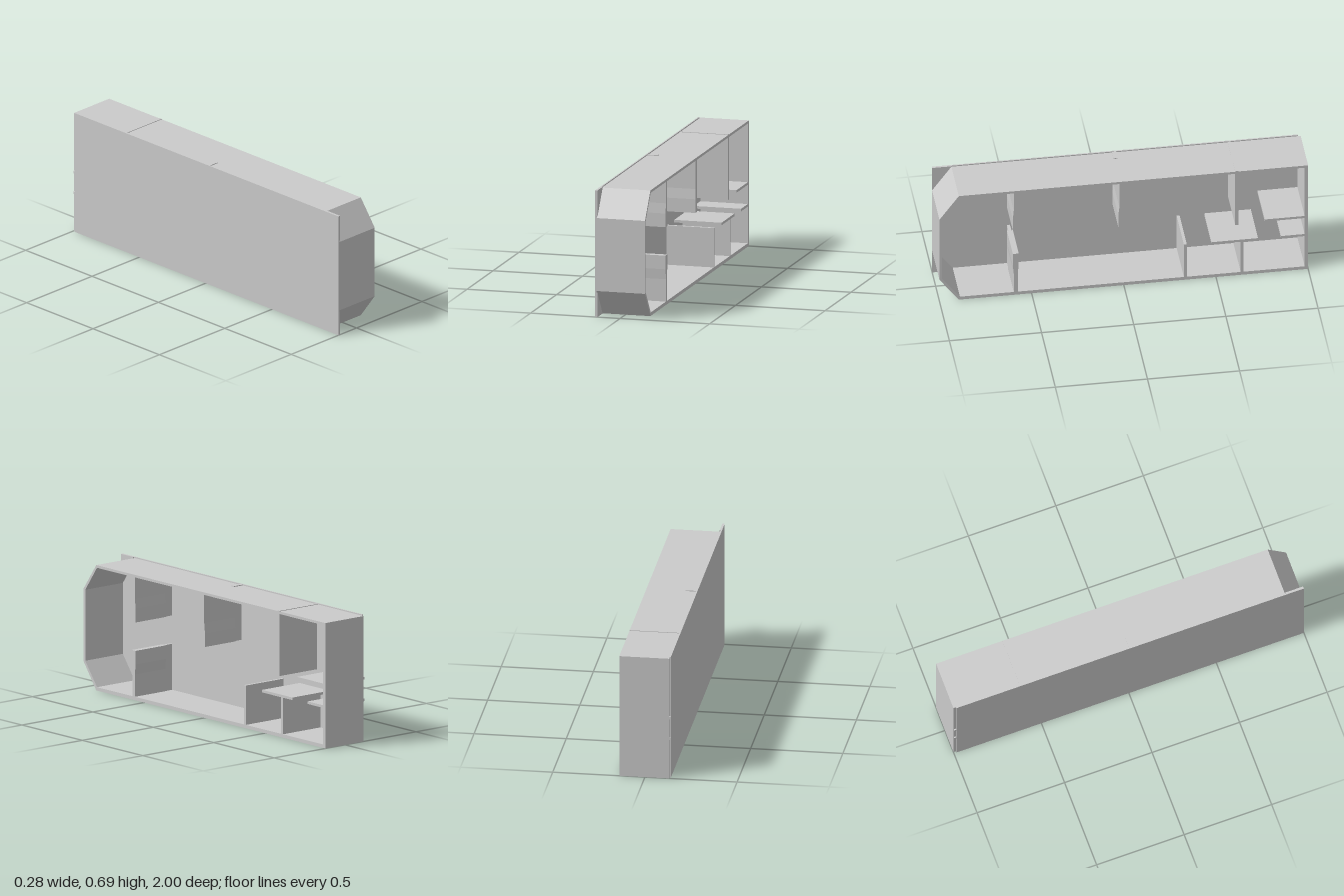
import * as THREE from 'three';

export function createModel() {
  const model = new THREE.Group();
  const grey = new THREE.MeshStandardMaterial({ color: 0xcbcbcb });
  grey.name = 'plain grey';
  const BACK = -0.139, SEAT = -0.131, FLOOR = -0.126, OPEN = 0.139;

  // Extrudes a side outline of [z, y] points across the width, from x0 to x1
  function slab(name, points, x0, x1, hole) {
    const toPoints = (pts) => pts.map(([z, y]) => new THREE.Vector2(-z, y)).reverse();
    const shape = new THREE.Shape(toPoints(points));
    if (hole) shape.holes.push(new THREE.Path(toPoints(hole)));
    const geo = new THREE.ExtrudeGeometry(shape, { depth: x1 - x0, bevelEnabled: false });
    geo.rotateY(Math.PI / 2).translate(x0, 0, 0);
    const mesh = new THREE.Mesh(geo, grey);
    mesh.name = name;
    model.add(mesh);
  }
  const rect = (z0, z1, y0, y1) => [[z0, y0], [z1, y0], [z1, y1], [z0, y1]];

  // Outer wall with two cut corners at the front, seated in the backing plate
  const inside = [[-0.981, 0.019], [0.889, 0.019], [0.986, 0.148], [0.986, 0.538], [0.889, 0.675], [-0.981, 0.675]];
  slab('outerWall',
    [[-1, 0], [0.895, 0], [1, 0.143], [1, 0.543], [0.895, 0.689], [-1, 0.689]],
    SEAT, OPEN, inside);

  // Flat backing plate, with a raised floor and raised front corners around the wall seat
  slab('backPlate', rect(-0.985, 1, 0, 0.695), BACK, SEAT);
  slab('raisedFloor', inside, SEAT, FLOOR);
  slab('upperCorner', [[1, 0.551], [1, 0.695], [0.897, 0.695]], SEAT, FLOOR);
  slab('lowerCorner', [[0.901, 0], [1, 0], [1, 0.135]], SEAT, FLOOR);

  // Plain partitions and shelves: [name, z0, z1, y0, y1]
  const panels = [
    ['rearUpperPartition', -0.621, -0.604, 0.334, 0.692],
    ['rearLowerPartition', -0.649, -0.634, 0.01, 0.222],
    ['middleLowerPartition', -0.342, -0.326, 0.01, 0.235],
    ['tableShelf', -0.728, -0.476, 0.22, 0.234],
    ['rearLowerShelf', -0.99, -0.853, 0.22, 0.234],
    ['rearUpperShelf', -0.99, -0.765, 0.34, 0.354],
  ];
  for (const [name, z0, z1, y0, y1] of panels) slab(name, rect(z0, z1, y0, y1), SEAT, OPEN);

  // Partitions that swell towards the free end, on a slimmer foot
  function swollenPartition(name, z, root, end, wide) {
    const s = Math.sign(end - root), narrow = 0.011;
    const k1 = end - s * 0.075, k2 = end - s * 0.13;
    slab(name, [
      [z - narrow, root], [z - narrow, k2], [z - wide, k1], [z - wide, end],
      [z + wide, end], [z + wide, k1], [z + narrow, k2], [z + narrow, root],
    ], -0.075, OPEN);
    slab(name + 'Foot', rect(z - 0.008, z + 0.008, Math.min(root, end), Math.max(root, end)), SEAT, -0.074);
  }
  swollenPartition('frontUpperPartition', 0.586, 0.68, 0.428, 0.016);
  swollenPartition('frontLowerPartition', 0.586, 0.012, 0.272, 0.016);
  swollenPartition('middleUpperPartition', 0.013, 0.68, 0.39, 0.017);

  // Small tabs poking through the roof and beside the rear wall
  slab('roofTab', rect(0.002, 0.024, 0.68, 0.693), SEAT, -0.072);
  for (const y of [0.22, 0.34]) slab('rearTab', rect(-0.998, -0.98, y, y + 0.014), -0.138, FLOOR);

  return model;
}
